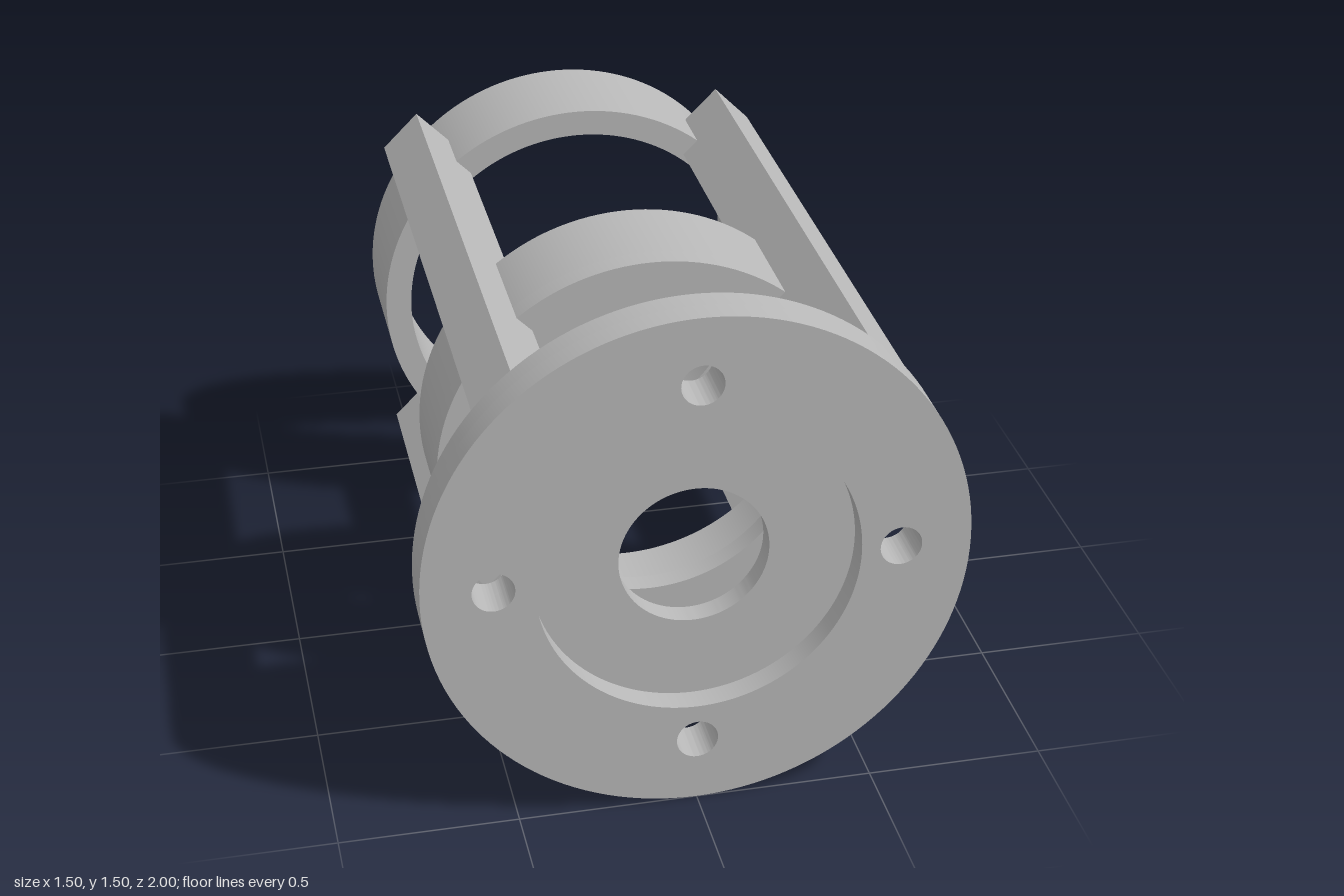
import * as THREE from 'three';
import { toCreasedNormals } from 'three/addons/utils/BufferGeometryUtils.js';

const AXIS_Y = 0.751;

// Round plate between z0 and z1, pierced by circular holes given as [x, y, radius]
function plate(radius, holes, z0, z1) {
  const shape = new THREE.Shape();
  shape.absarc(0, 0, radius, 0, Math.PI * 2, false);
  for (const [x, y, r] of holes) {
    const hole = new THREE.Path();
    hole.absarc(x, y, r, 0, Math.PI * 2, true);
    shape.holes.push(hole);
  }
  const geometry = new THREE.ExtrudeGeometry(shape, {
    depth: z1 - z0, bevelEnabled: false, curveSegments: 72,
  });
  geometry.translate(0, 0, z0);
  return toCreasedNormals(geometry, 0.6);
}

export function createModel() {
  const model = new THREE.Group();
  model.name = 'bearingCage';
  const grey = new THREE.MeshStandardMaterial({ color: 0xb8b8b8 });
  grey.name = 'grey metal';

  const frame = new THREE.Group();
  frame.name = 'frame';
  frame.position.y = AXIS_Y;
  model.add(frame);

  const add = (name, geometry) => {
    const mesh = new THREE.Mesh(geometry, grey);
    mesh.name = name;
    frame.add(mesh);
    return mesh;
  };

  // Front flange: stepped bore and four bolt holes
  const bolts = [0, 1, 2, 3].map((i) => {
    const a = (i * Math.PI) / 2;
    return [0.555 * Math.cos(a), 0.555 * Math.sin(a), 0.058];
  });
  add('flangeRecess', plate(0.75, [[0, 0, 0.445], ...bolts], 0.93, 1));
  add('flangeBack', plate(0.75, [[0, 0, 0.207], ...bolts], 0.865, 0.93));

  // Middle ring with an inner lip at its front
  add('middleRing', plate(0.614, [[0, 0, 0.536]], 0.06, 0.335));
  add('middleRingLip', plate(0.614, [[0, 0, 0.445]], 0.335, 0.4));

  // Rear ring
  add('rearRing', plate(0.614, [[0, 0, 0.536]], -1, -0.66));

  // Four rails set diagonally around the axis
  for (let i = 0; i < 4; i++) {
    const rail = new THREE.BoxGeometry(0.198, 0.148, 1.69);
    rail.translate(0.647, 0, 0.02);
    add('rail', rail).rotation.z = Math.PI / 4 + (i * Math.PI) / 2;
  }

  return model;
}
